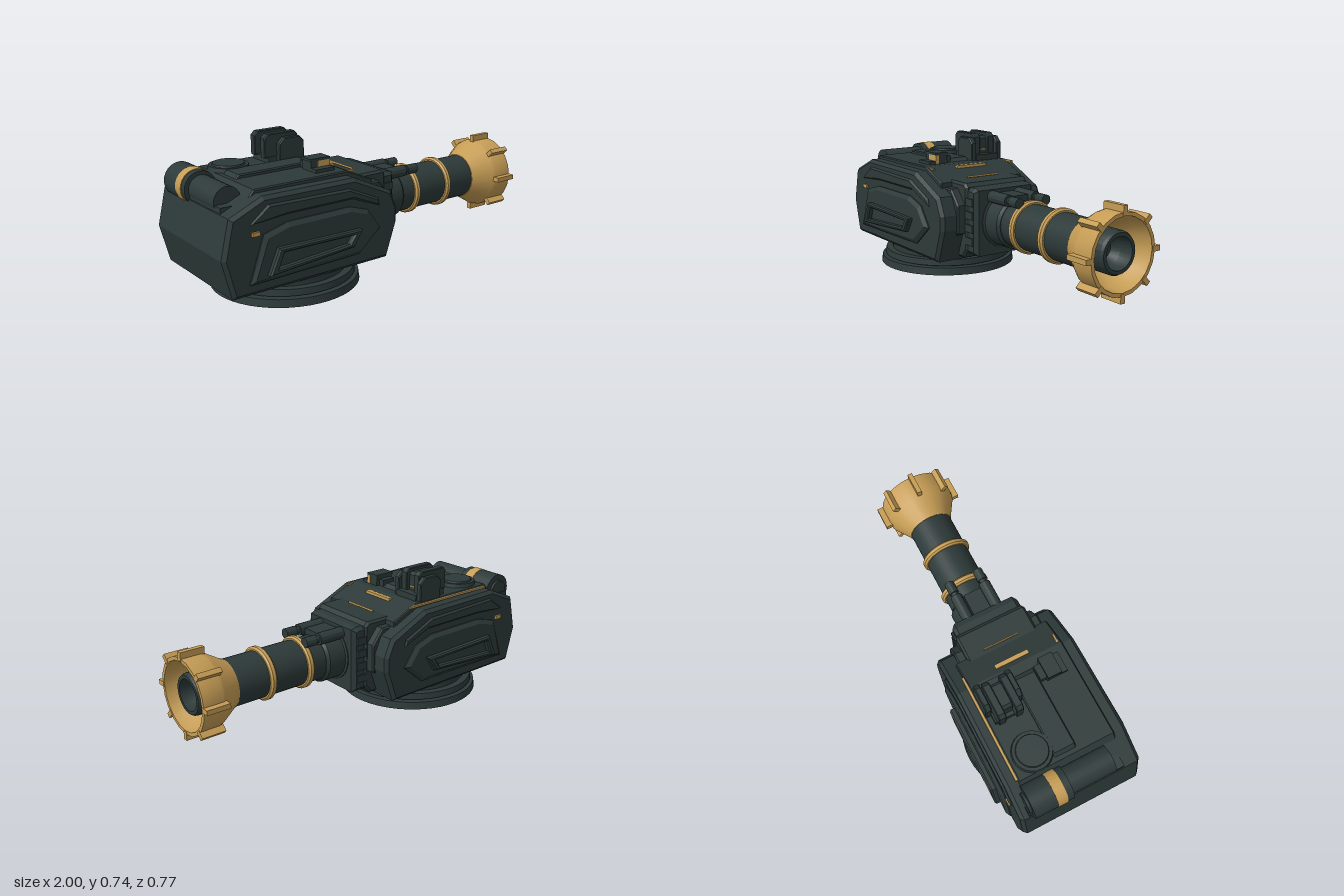
import * as THREE from 'three';
import { toCreasedNormals } from 'three/addons/utils/BufferGeometryUtils.js';

const mat = (name, color) => {
  const m = new THREE.MeshStandardMaterial({ color });
  m.name = name;
  return m;
};

export function createModel() {
  const root = new THREE.Group();
  root.name = 'gunTurret';
  const dark = mat('darkArmour', 0x2d3a39);
  const gold = mat('brass', 0xc69d55);
  const AXIS = 0.335; // barrel height

  const add = (name, geo, m = dark, parent = root) => {
    const mesh = new THREE.Mesh(geo, m);
    mesh.name = name;
    parent.add(mesh);
    return mesh;
  };
  // box given by its limits
  const box = (name, x0, x1, y0, y1, z0, z1, m = dark) =>
    add(name, new THREE.BoxGeometry(x1 - x0, y1 - y0, z1 - z0)
      .translate((x0 + x1) / 2, (y0 + y1) / 2, (z0 + z1) / 2), m);
  // side profile in x,y extruded from z0 to z1 with chamfered edges
  const plate = (name, pts, z0, z1, b = 0.008, m = dark, hole = null, t = b) => {
    const v = (a) => a.map(([x, y]) => new THREE.Vector2(x, y));
    const shape = new THREE.Shape(v(pts));
    if (hole) shape.holes.push(new THREE.Path(v(hole)));
    const geo = new THREE.ExtrudeGeometry(shape, {
      depth: z1 - z0 - 2 * t, bevelEnabled: true, bevelSegments: 1,
      bevelSize: b, bevelOffset: -b, bevelThickness: t,
    }).translate(0, 0, z0 + t);
    return add(name, geo, m);
  };
  // solid of revolution around the barrel axis, points are [x, radius]
  const turned = (name, pts, m = dark, sides = 32, y = AXIS, z = 0) =>
    add(name, toCreasedNormals(new THREE.LatheGeometry(
      pts.map(([x, r]) => new THREE.Vector2(r, x)), sides), 0.5)
      .rotateZ(-Math.PI / 2).translate(0, y, z), m);
  const cylZ = (name, x, y, r, z0, z1, m = dark) =>
    add(name, new THREE.CylinderGeometry(r, r, z1 - z0, 24)
      .rotateX(Math.PI / 2).translate(x, y, (z0 + z1) / 2), m);
  const cylY = (name, x, z, r0, r1, y0, y1, sides = 48) =>
    add(name, new THREE.CylinderGeometry(r1, r0, y1 - y0, sides)
      .translate(x, (y0 + y1) / 2, z));

  // turntable
  cylY('baseDisc', -0.465, 0, 0.386, 0.38, 0, 0.04);
  cylY('baseNeck', -0.465, 0, 0.34, 0.34, 0.035, 0.05);
  cylY('baseRing', -0.465, 0, 0.362, 0.358, 0.048, 0.082);
  cylY('turretCollar', -0.465, 0, 0.32, 0.32, 0.08, 0.125);

  // main hull, with a narrower deck on top
  plate('hull', [[-0.95, 0.112], [-0.05, 0.112], [0.012, 0.29], [0.012, 0.37], [-0.03, 0.465],
    [-0.26, 0.57], [-0.78, 0.575], [-0.955, 0.5], [-1, 0.31]], -0.335, 0.335, 0.018);
  plate('deck', [[-0.84, 0.53], [-0.1, 0.48], [-0.1, 0.525], [-0.21, 0.572], [-0.26, 0.593], [-0.79, 0.593]],
    -0.265, 0.265, 0.006);
  plate('deckRidge', [[-0.78, 0.58], [-0.3, 0.58], [-0.34, 0.612], [-0.75, 0.612]], -0.055, 0.065, 0.006);
  box('rearPanel', -0.99, -0.92, 0.27, 0.34, -0.22, 0.22);

  // side armour, mirrored
  for (const s of [-1, 1]) {
    const side = (name, pts, a, b, bev, hole, t) =>
      plate(name, pts, s > 0 ? a : -b, s > 0 ? b : -a, bev, dark, hole, t);
    side('sideArmour', [[-0.87, 0.17], [-0.24, 0.18], [-0.11, 0.29], [-0.19, 0.4], [-0.3, 0.435],
      [-0.66, 0.435], [-0.79, 0.4]], 0.31, 0.357, 0.022, null, 0.015);
    side('sideFrame', [[-0.785, 0.205], [-0.3, 0.238], [-0.25, 0.32], [-0.73, 0.33]], 0.345, 0.386, 0.008,
      [[-0.735, 0.232], [-0.33, 0.258], [-0.3, 0.3], [-0.705, 0.305]]);
    side('upperArmour', [[-0.86, 0.455], [-0.66, 0.47], [-0.28, 0.47], [-0.11, 0.405], [-0.12, 0.445],
      [-0.3, 0.525], [-0.76, 0.535]], 0.32, 0.345, 0.01);
    box('brassBracket', -0.85, -0.81, 0.4, 0.42, s > 0 ? 0.325 : -0.347, s > 0 ? 0.347 : -0.325, gold);
    // cheek block beside the gun mount
    plate('cheekBlock', [[-0.12, 0.2], [0.025, 0.27], [0.025, 0.42], [-0.04, 0.5], [-0.12, 0.5]],
      s > 0 ? 0.19 : -0.245, s > 0 ? 0.245 : -0.19, 0.008);
  }

  // gun mount
  plate('mountBlock', [[-0.13, 0.13], [0.0, 0.13], [0.04, 0.18], [0.04, 0.515], [0.02, 0.535], [-0.13, 0.535]],
    -0.2, 0.2, 0.012);
  plate('mountFace', [[0, 0.155], [0.11, 0.155], [0.11, 0.505], [0.08, 0.515], [0, 0.515]], -0.19, 0.19, 0.02);
  for (const s of [-1, 1]) {
    for (const y of [0.23, 0.3, 0.37, 0.44])
      box('mountRib', 0.03, 0.09, y - 0.02, y + 0.02, s > 0 ? 0.18 : -0.2, s > 0 ? 0.2 : -0.18);
  }

  // barrel, sleeve and recoil rods
  turned('barrelSleeve', [[0.1, 0], [0.1, 0.15], [0.115, 0.15], [0.12, 0.138], [0.22, 0.138], [0.235, 0.125], [0.235, 0]]);
  turned('barrel', [[0.2, 0], [0.2, 0.122], [0.79, 0.122], [0.79, 0]]);
  for (const z of [-0.085, 0.085]) {
    turned('recoilRod', [[0.1, 0], [0.1, 0.032], [0.26, 0.032], [0.26, 0.02], [0.28, 0.02], [0.28, 0.027],
      [0.345, 0.027], [0.345, 0]], dark, 12, 0.468, z);
  }
  box('rodBridge', 0.1, 0.24, 0.43, 0.485, -0.05, 0.05);
  for (const x of [0.335, 0.565])
    turned('barrelRing', [[x - 0.018, 0.118], [x - 0.018, 0.13], [x - 0.009, 0.14], [x + 0.009, 0.14],
      [x + 0.018, 0.13], [x + 0.018, 0.118]], gold);

  // flared muzzle with eight lugs
  turned('muzzleFlare', [[0.76, 0.115], [0.76, 0.126], [0.775, 0.132], [0.87, 0.19], [0.89, 0.197], [0.997, 0.197],
    [0.997, 0.178], [0.92, 0.165], [0.82, 0.1]], gold, 20);
  for (let i = 0; i < 8; i++) {
    const lug = add('muzzleLug', new THREE.BoxGeometry(0.128, 0.045, 0.026).translate(0.936, 0.205, 0), gold);
    lug.position.y = AXIS;
    lug.rotation.x = i * Math.PI / 4;
  }
  turned('innerBarrel', [[0.78, 0.106], [0.955, 0.106], [0.97, 0.098], [0.97, 0.08], [0.9, 0.074], [0.86, 0.05], [0.86, 0]], dark, 24);

  // rear canisters
  cylZ('rearCanister', -0.89, 0.543, 0.088, -0.27, -0.145);
  cylZ('canisterBand', -0.89, 0.543, 0.09, -0.145, -0.09, gold);
  cylZ('canisterEnd', -0.89, 0.543, 0.086, -0.09, -0.055);
  cylZ('canisterCap', -0.89, 0.543, 0.055, -0.285, -0.27);
  cylZ('rearTube', -0.885, 0.54, 0.07, -0.055, 0.19);
  box('canisterBed', -0.95, -0.79, 0.46, 0.53, -0.29, 0.24);

  // hatch
  cylY('hatch', -0.69, -0.14, 0.106, 0.1, 0.585, 0.614, 24);
  cylY('hatchLid', -0.69, -0.14, 0.085, 0.08, 0.61, 0.622, 24);

  // roof sight: stacked chamfered plates around a core
  const sight = (x0, x1, y0, y1, c) => [[x0, y0], [x1, y0], [x1, y1 - c], [x1 - c, y1], [x0 + c, y1], [x0, y1 - c]];
  for (const z of [-0.11, -0.205])
    plate('sightPlate', sight(-0.51, -0.31, 0.62, 0.742, 0.02), z - 0.02, z + 0.02, 0.004);
  for (const z of [-0.075, -0.245])
    plate('sightGuard', sight(-0.44, -0.29, 0.585, 0.72, 0.03), z - 0.016, z + 0.016, 0.005);
  plate('sightCore', sight(-0.47, -0.33, 0.585, 0.725, 0.015), -0.19, -0.13, 0.003);
  box('sightBase', -0.49, -0.28, 0.585, 0.625, -0.235, -0.085);
  box('sightTrim', -0.332, -0.327, 0.645, 0.65, -0.18, -0.14, gold);

  // small periscope
  box('periscope', -0.41, -0.3, 0.585, 0.645, 0.1, 0.172);
  box('periscopeCap', -0.415, -0.298, 0.642, 0.655, 0.098, 0.176);
  box('periscopeTrim', -0.37, -0.297, 0.595, 0.642, 0.155, 0.175, gold);
  box('periscopeStep', -0.4, -0.32, 0.585, 0.63, 0.065, 0.1);
  box('periscopeFoot', -0.41, -0.3, 0.585, 0.61, 0.172, 0.215);

  // brass deck trim
  box('deckStrip', -0.78, -0.2, 0.578, 0.588, -0.277, -0.264, gold);
  box('frontStrip', -0.235, -0.212, 0.57, 0.588, -0.1, 0.09, gold);
  box('cornerStrip', -0.27, -0.2, 0.58, 0.588, 0.24, 0.25, gold);
  box('lipStrip', -0.103, -0.097, 0.538, 0.548, -0.1, 0.1, gold);

  return root;
}
